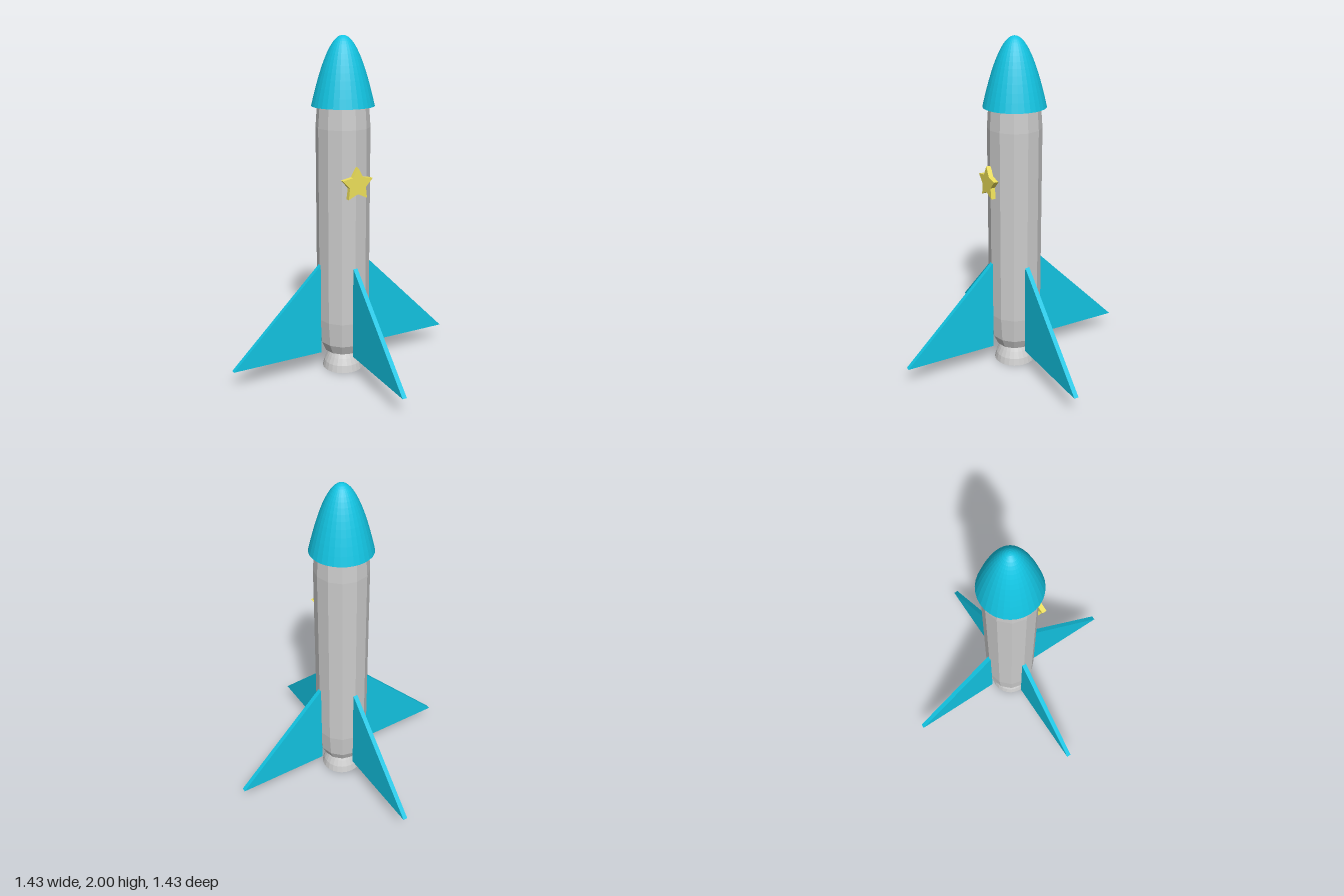
import * as THREE from 'three';

const material = (color) => new THREE.MeshStandardMaterial({ color, flatShading: true });

// Faceted solid of revolution from [radius, height] pairs, bottom to top
function turned(name, profile, sides, mat) {
  const points = profile.map(([r, y]) => new THREE.Vector2(r, y));
  const mesh = new THREE.Mesh(new THREE.LatheGeometry(points, sides), mat);
  mesh.name = name;
  return mesh;
}

export function createModel() {
  const rocket = new THREE.Group();
  rocket.name = 'rocket';
  const grey = material(0xcccccc);
  const teal = material(0x12c4e2);
  const yellow = material(0xeee05a);

  // Twelve-sided hull, tapering at both ends
  rocket.add(turned('body', [
    [0, 0.12], [0.115, 0.12], [0.143, 0.18], [0.157, 0.33],
    [0.157, 1.49], [0.148, 1.615], [0, 1.615],
  ], 12, grey));

  // Flared engine bell
  rocket.add(turned('nozzle', [
    [0, 0], [0.125, 0], [0.115, 0.042], [0.096, 0.08], [0.07, 0.125], [0, 0.125],
  ], 24, grey));

  // Parabolic nose cone with an overhanging flat base
  const noseProfile = [[0, 1.61]];
  const steps = 14;
  for (let i = steps; i >= 0; i--) {
    const t = i / steps;
    noseProfile.push([0.181 * t, 2 - 0.39 * t * t]);
  }
  rocket.add(turned('noseCone', noseProfile, 32, teal));

  // Four triangular fins
  const finShape = new THREE.Shape([
    new THREE.Vector2(0.155, 0.12),
    new THREE.Vector2(0.715, 0.12),
    new THREE.Vector2(0.155, 0.68),
  ]);
  const thickness = 0.027;
  const finGeometry = new THREE.ExtrudeGeometry(finShape, { depth: thickness, bevelEnabled: false });
  finGeometry.translate(0, 0, -thickness / 2);
  ['leftFin', 'backFin', 'rightFin', 'frontFin'].forEach((name, i) => {
    const fin = new THREE.Mesh(finGeometry, teal);
    fin.name = name;
    fin.rotation.y = i * Math.PI / 2;
    rocket.add(fin);
  });

  // Star badge on the front of the hull
  const starPoints = [];
  for (let i = 0; i < 10; i++) {
    const r = i % 2 ? 0.053 : 0.1;
    const a = Math.PI / 2 + i * Math.PI / 5;
    starPoints.push(new THREE.Vector2(r * Math.cos(a), r * Math.sin(a)));
  }
  const star = new THREE.Mesh(
    new THREE.ExtrudeGeometry(new THREE.Shape(starPoints), { depth: 0.028, bevelEnabled: false }),
    yellow
  );
  star.name = 'starBadge';
  star.position.set(0, 1.186, 0.154);
  rocket.add(star);

  return rocket;
}
